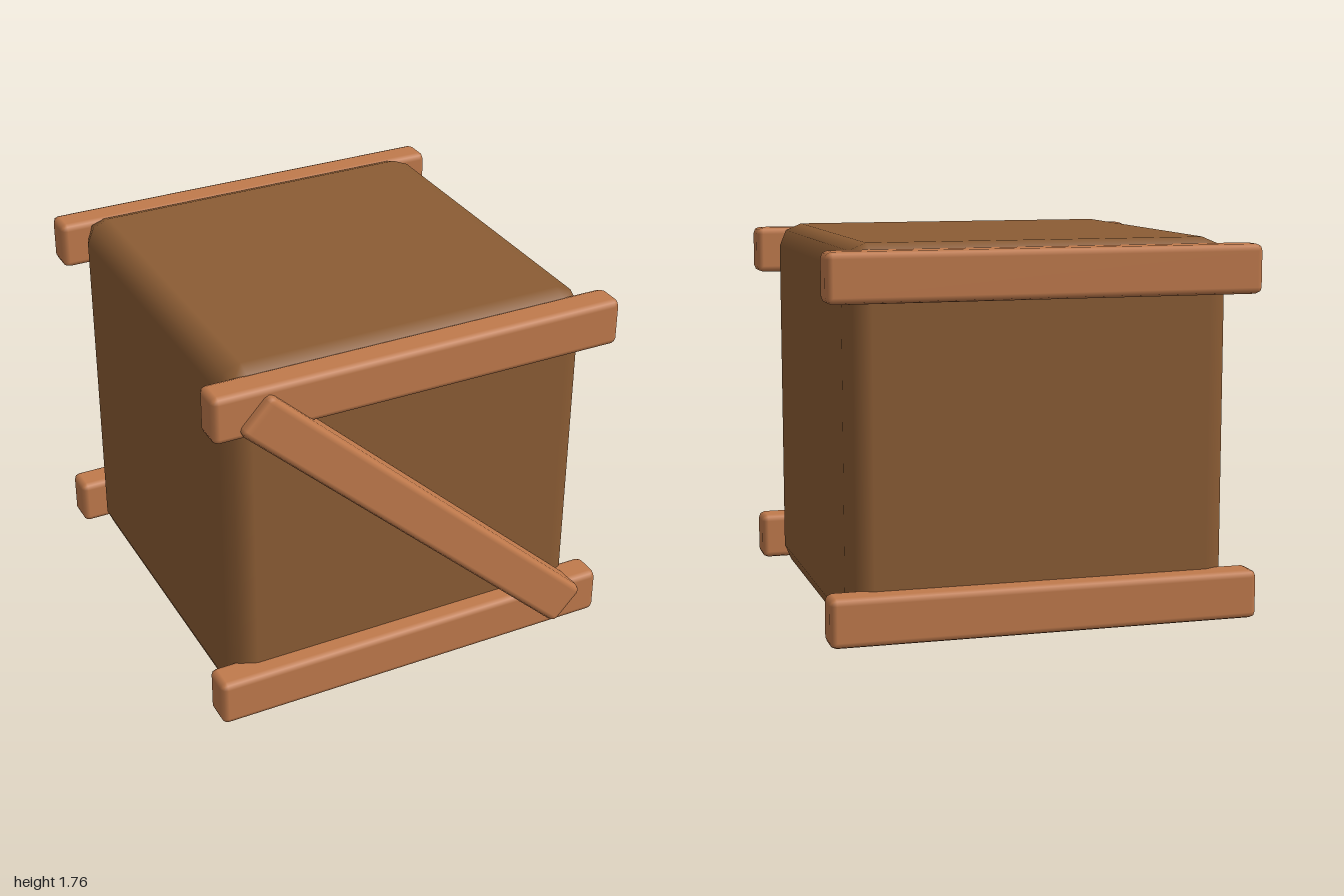
import * as THREE from 'three';
import { RoundedBoxGeometry } from 'three/addons/geometries/RoundedBoxGeometry.js';

export function createModel() {
  const group = new THREE.Group();
  const darkWood = new THREE.MeshStandardMaterial({ color: 0x8b5c34 });
  darkWood.name = 'dark wood';
  const lightWood = new THREE.MeshStandardMaterial({ color: 0xc07a4c });
  lightWood.name = 'light wood';

  // box with softly bevelled edges
  const add = (name, size, position, radius, material) => {
    const mesh = new THREE.Mesh(new RoundedBoxGeometry(...size, 1, radius), material);
    mesh.name = name;
    mesh.position.set(...position);
    group.add(mesh);
    return mesh;
  };

  // crate body
  add('crateBody', [1.76, 1.76, 1.76], [0, 0.88, -0.02], 0.11, darkWood);

  // horizontal planks, top and bottom on front and back
  for (const [side, z] of [['front', 0.875], ['back', -0.922]]) {
    for (const [level, y] of [['Top', 1.625], ['Bottom', 0.145]]) {
      add(side + level + 'Plank', [1.97, 0.222, 0.154], [0, y, z], 0.03, lightWood);
    }
  }

  // diagonal brace across the front
  const brace = add('diagonalBrace', [2.2, 0.212, 0.154], [0, 0.887, 0.923], 0.03, lightWood);
  brace.rotation.z = -0.75;

  return group;
}
